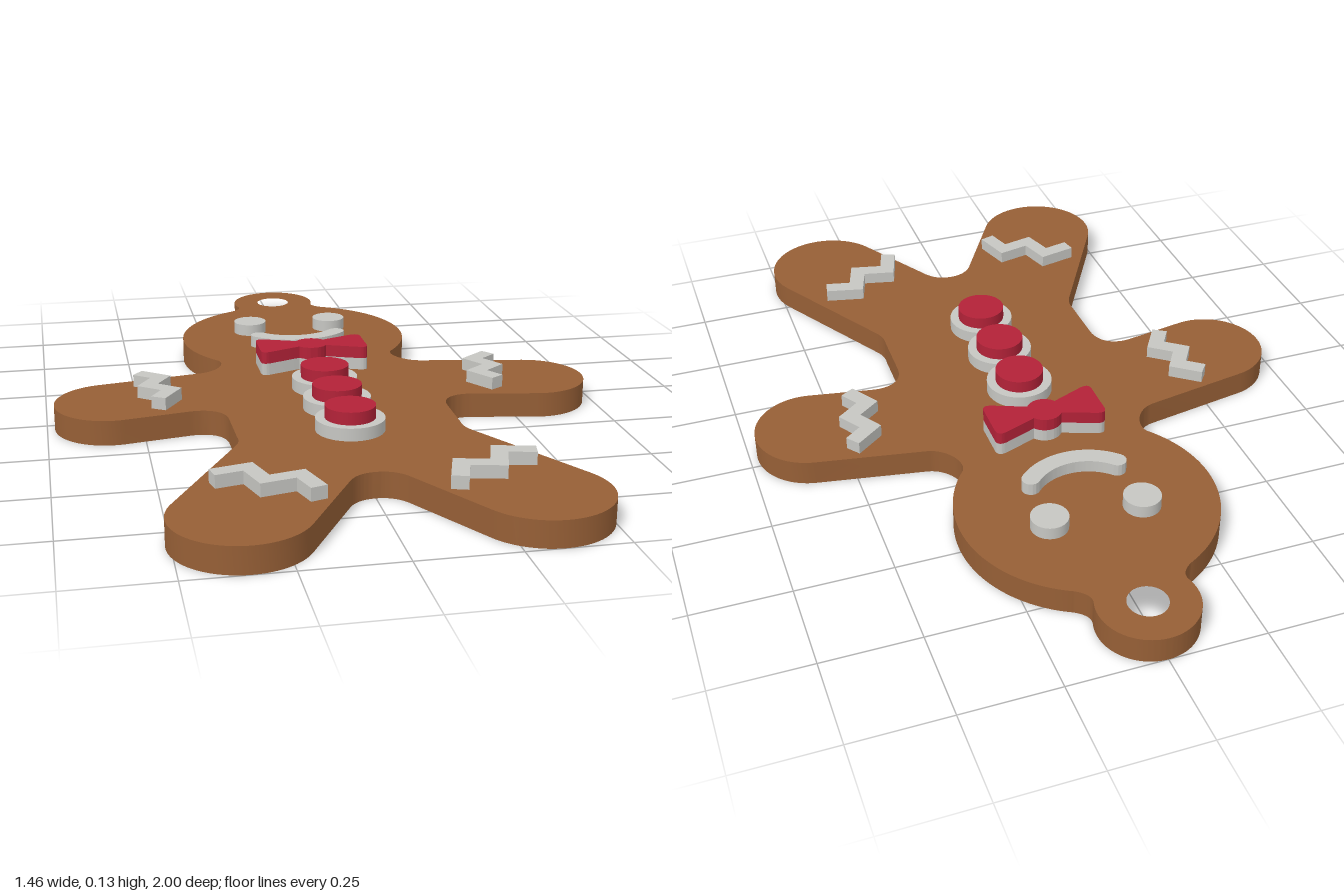
import * as THREE from 'three';
import { toCreasedNormals } from 'three/addons/utils/BufferGeometryUtils.js';

const rad = THREE.MathUtils.degToRad;
const LAYER = 0.0333;
const COOKIE_TOP = 0.067;
const RED_TOP = COOKIE_TOP + LAYER;

const material = (name, color, options = {}) =>
  Object.assign(new THREE.MeshStandardMaterial({ color, ...options }), { name });

// Plan shapes use x and -z; the slab is laid flat with its underside at y.
function slab(name, shape, y, height, mat, curveSegments = 24) {
  const extruded = new THREE.ExtrudeGeometry(shape, { depth: height, bevelEnabled: false, curveSegments });
  extruded.rotateX(-Math.PI / 2);
  const mesh = new THREE.Mesh(toCreasedNormals(extruded, rad(30)), mat);
  mesh.position.y = y;
  mesh.name = name;
  return mesh;
}

function disc(name, x, z, radius, y, mat) {
  const mesh = new THREE.Mesh(new THREE.CylinderGeometry(radius, radius, LAYER, 40), mat);
  mesh.position.set(x, y + LAYER / 2, z);
  mesh.name = name;
  return mesh;
}

// Mirrors a half outline running from the top of the centre line to its bottom.
function mirroredShape(half, segments) {
  const points = half.getPoints(segments);
  const other = points.slice(1, -1).reverse().map((p) => new THREE.Vector2(-p.x, p.y));
  return new THREE.Shape([...points, ...other]);
}

function cookieShape() {
  const half = new THREE.Path();
  half.moveTo(0, 1);
  half.absarc(0, 0.875, 0.125, rad(90), rad(-18), true); // hanging loop
  half.quadraticCurveTo(0.113, 0.81, 0.15, 0.787);
  half.absarc(0, 0.49, 0.333, rad(63), rad(-40), true); // head
  half.bezierCurveTo(0.237, 0.24, 0.27, 0.177, 0.32, 0.168); // neck
  half.absarc(0.58, -0.03, 0.15, rad(80), rad(-100), true); // hand
  half.lineTo(0.385, -0.147);
  half.bezierCurveTo(0.33, -0.137, 0.29, -0.165, 0.29, -0.225); // armpit
  half.lineTo(0.288, -0.36);
  half.quadraticCurveTo(0.284, -0.39, 0.3, -0.418); // hip
  half.absarc(0.345, -0.833, 0.167, rad(30), rad(-150), true); // foot
  half.lineTo(0.07, -0.69);
  half.quadraticCurveTo(0.045, -0.65, 0, -0.65); // crotch
  const shape = mirroredShape(half, 20);
  shape.holes.push(new THREE.Path().absarc(0, 0.875, 0.05, 0, Math.PI * 2, true));
  return shape;
}

function smileShape() {
  const cy = 0.516, r = 0.162, w = 0.024, a0 = rad(-136), a1 = rad(-44);
  const shape = new THREE.Shape();
  shape.absarc(0, cy, r + w, a0, a1, false);
  shape.absarc(r * Math.cos(a1), cy + r * Math.sin(a1), w, a1, a1 + Math.PI, false);
  shape.absarc(0, cy, r - w, a1, a0, true);
  shape.absarc(r * Math.cos(a0), cy + r * Math.sin(a0), w, a0 + Math.PI, a0 + Math.PI * 2, false);
  return shape;
}

function bowShape() {
  const half = new THREE.Path();
  half.moveTo(0, 0.229);
  half.absarc(0, 0.182, 0.047, rad(90), rad(35), true);
  half.lineTo(0.125, 0.242);
  half.quadraticCurveTo(0.152, 0.25, 0.152, 0.225);
  half.lineTo(0.152, 0.135);
  half.quadraticCurveTo(0.152, 0.11, 0.125, 0.12);
  half.absarc(0, 0.182, 0.047, rad(-35), rad(-90), true);
  return mirroredShape(half, 12);
}

// Zigzag strip across a limb, with its peaks pointing back along the limb.
function zigzagShape(x, z, limbAngle, halfLength, peak, side) {
  const along = new THREE.Vector2(Math.cos(limbAngle), -Math.sin(limbAngle));
  const across = new THREE.Vector2(-along.y, along.x);
  const path = [-1, -0.5, 0, 0.5, 1].map((t, i) =>
    new THREE.Vector2(x, -z).addScaledVector(across, t * halfLength).addScaledVector(along, i % 2 ? -peak : 0));
  const halfWidth = 0.021, left = [], right = [];
  path.forEach((p, i) => {
    const before = p.clone().sub(path[Math.max(i - 1, 0)]).normalize();
    const after = path[Math.min(i + 1, path.length - 1)].clone().sub(p).normalize();
    const dir = before.clone().add(after).normalize();
    const segment = i ? before : after;
    const miter = halfWidth / dir.dot(segment);
    const offset = new THREE.Vector2(-dir.y, dir.x).multiplyScalar(miter);
    left.push(p.clone().add(offset));
    right.unshift(p.clone().sub(offset));
  });
  const points = [...left, ...right];
  points.forEach((p) => { p.x *= side; });
  return new THREE.Shape(points);
}

export function createModel() {
  const brown = material('gingerbread brown', 0x965f36);
  const white = material('icing white', 0xc6c6c2);
  const red = material('candy red', 0xb32238);
  const model = new THREE.Group();
  model.name = 'gingerbreadOrnament';

  model.add(slab('cookieBody', cookieShape(), 0, COOKIE_TOP, brown, 20));

  // Face
  model.add(slab('smile', smileShape(), COOKIE_TOP, LAYER, white));
  for (const [side, label] of [[1, 'left'], [-1, 'right']]) {
    model.add(disc(label + 'Eye', side * 0.122, -0.554, 0.048, COOKIE_TOP, white));

    // Icing on the arms and legs
    model.add(slab(label + 'ArmIcing', zigzagShape(0.48, 0.005, rad(10), 0.11, 0.05, side), COOKIE_TOP, LAYER, white));
    model.add(slab(label + 'LegIcing', zigzagShape(0.275, 0.725, rad(60), 0.13, 0.06, side), COOKIE_TOP, LAYER, white));
  }

  // Bow tie on its icing base
  model.add(slab('bowTieIcing', bowShape(), COOKIE_TOP, LAYER, white));
  model.add(slab('bowTie', bowShape(), RED_TOP, LAYER, red));

  // Buttons with icing rims
  [0.018, 0.187, 0.355].forEach((z, i) => {
    model.add(disc('buttonIcing' + (i + 1), 0, z, 0.089, COOKIE_TOP, white));
    model.add(disc('button' + (i + 1), 0, z, 0.065, RED_TOP, red));
  });

  return model;
}
